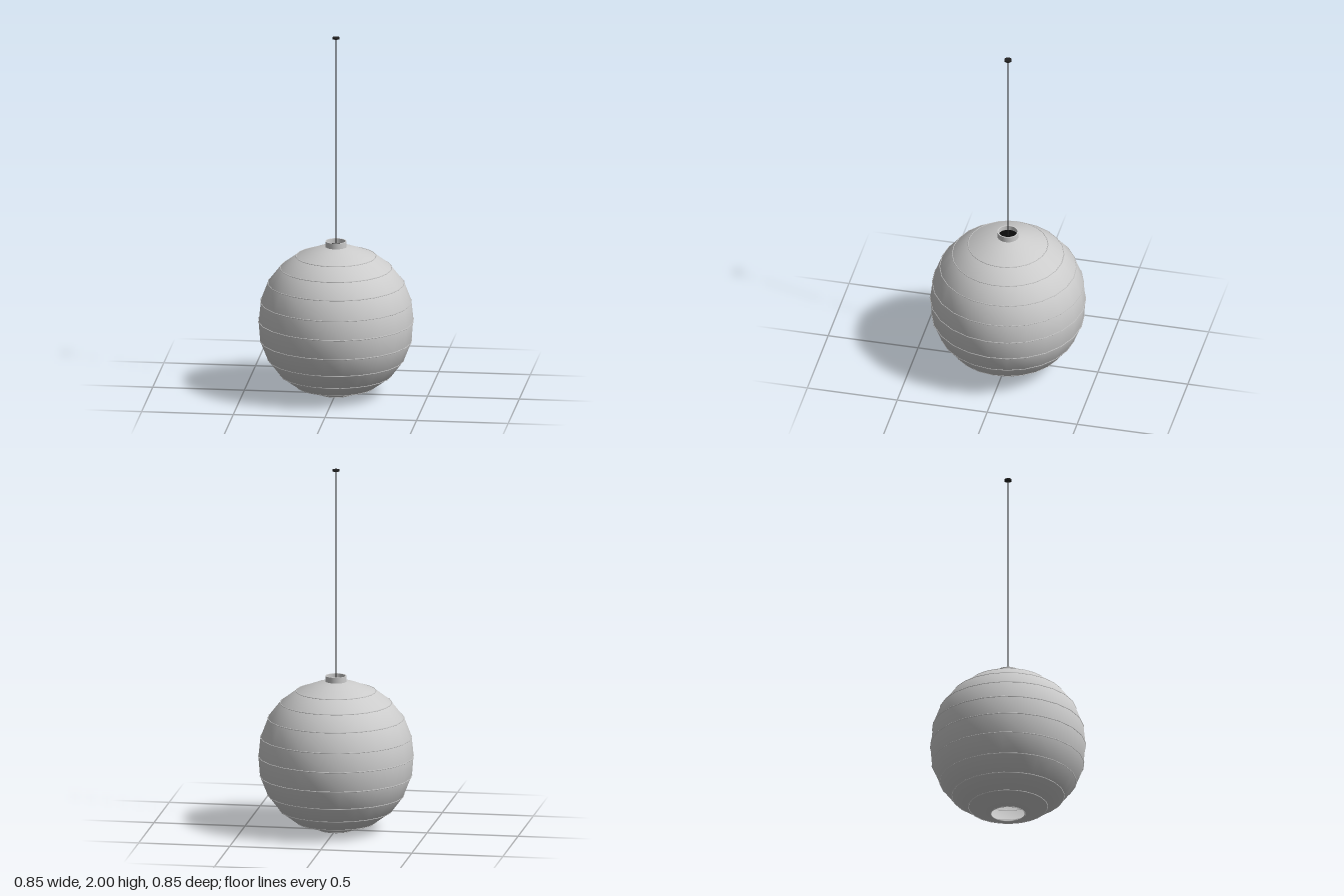
import * as THREE from 'three';

const SIDES = 24;
const TURN = -0.047; // slight rotation of the faceted shade about its axis

const material = (color) => new THREE.MeshStandardMaterial({ color, side: THREE.DoubleSide });

export function createModel() {
  const model = new THREE.Group();
  const paper = material(0xcccccc);
  const black = material(0x0a0a0a);
  const dark = material(0x222222);

  const add = (name, geometry, mat, y = 0, parent = model) => {
    const mesh = new THREE.Mesh(geometry, mat);
    mesh.name = name;
    mesh.position.y = y;
    parent.add(mesh);
    return mesh;
  };
  const lathe = (points) => new THREE.LatheGeometry(
    points.map(([r, y]) => new THREE.Vector2(r, y)), SIDES, TURN);

  // Paper shade: open at the bottom, straight between its ribs
  const ribs = [
    [0.215, 0.045], [0.305, 0.11], [0.37, 0.195], [0.412, 0.30], [0.421, 0.41],
    [0.41, 0.515], [0.37, 0.62], [0.303, 0.705], [0.217, 0.77],
  ];
  add('shade', lathe([[0.093, 0.003], ...ribs, [0.11, 0.812], [0.056, 0.824]]), paper);

  // Thin wire ribs around the shade
  const ribGroup = new THREE.Group();
  ribGroup.name = 'ribs';
  model.add(ribGroup);
  const t = 0.003;
  for (const [r, y] of [[0.093, 0.003], ...ribs]) {
    add('rib', lathe([[r, y - t], [r + t, y], [r, y + t], [r - t, y], [r, y - t]]), paper, 0, ribGroup);
  }

  // Open collar at the top, with the black lamp holder inside
  const collar = [[0.051, 0.822], [0.058, 0.822], [0.058, 0.855], [0.051, 0.855], [0.051, 0.822]];
  for (let i = 0; i < 4; i++) add('collar', lathe([collar[i], collar[i + 1]]), paper);
  add('lampHolder', new THREE.CylinderGeometry(0.051, 0.051, 0.008, SIDES), black, 0.826);

  // Hanging cord and small ceiling plate
  add('cord', new THREE.CylinderGeometry(0.0025, 0.0025, 1.165, 8), dark, 1.4125);
  add('ceilingPlate', new THREE.CylinderGeometry(0.02, 0.02, 0.009, 24), dark, 1.9955);

  return model;
}
